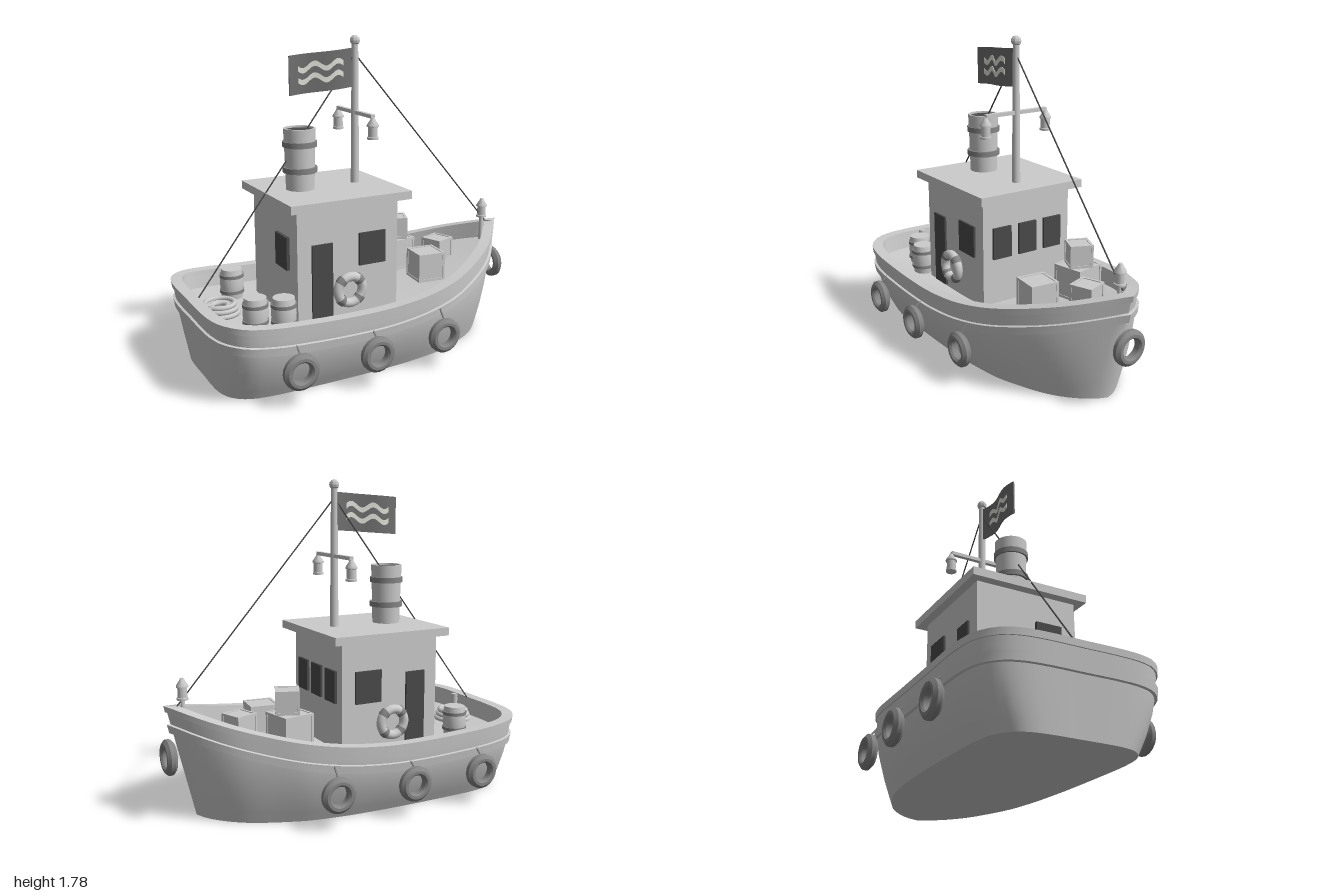
import * as THREE from 'three';
import { toCreasedNormals } from 'three/addons/utils/BufferGeometryUtils.js';

const mat = (color) => new THREE.MeshStandardMaterial({ color, side: THREE.DoubleSide });
const grey = mat(0xcccccc), dark = mat(0x4a4a4a), cloth = mat(0x707070), rubber = mat(0x858585), light = mat(0xe4e4dc);

// Height of the rim along the boat (bow at +x)
const sheer = (x) => 0.4 + (x < -0.2 ? 0.04 * ((x + 0.2) / 0.8) ** 2 : 0.22 * ((x + 0.2) / 1.18) ** 2);
const deckY = (x) => sheer(x) - 0.1;

// Closed plan outline of the rim, from stern centre round the +z side to the bow and back
const BEAM = 0.535;
const half = new THREE.CatmullRomCurve3([
  [-1, 0], [-1, 0.2], [-0.99, 0.32], [-0.96, 0.41], [-0.88, 0.49], [-0.75, 0.525], [-0.5, BEAM], [-0.2, BEAM],
  [0, 0.527], [0.2, 0.505], [0.4, 0.45], [0.6, 0.345], [0.75, 0.245], [0.87, 0.13], [0.98, 0],
].map(([x, z]) => new THREE.Vector3(x, 0, z)), false, 'centripetal').getSpacedPoints(60);
const outline = [...half, ...half.slice(1, -1).reverse().map((p) => new THREE.Vector3(p.x, 0, -p.z))];
const N = outline.length;

// Hull half-width as a share of the rim width, at height fraction v
const widths = [[0, 0.765], [0.25, 0.87], [0.5, 0.945], [0.7, 0.98], [1, 1]];
function flare(v) {
  const i = Math.max(1, widths.findIndex(([h]) => v <= h));
  const [[a, p], [b, q]] = [widths[i - 1], widths[i]];
  return p + (q - p) * (v - a) / (b - a);
}

// One ring round the hull: height(x) gives y, offset moves it outward; the bow gets rounder lower down
function ring(height, offset = 0, squash = 1) {
  return outline.map((p, i) => {
    const y = height(p.x), v = Math.min(1, y / sheer(p.x));
    const a = outline[(i + N - 1) % N], b = outline[(i + 1) % N];
    const n = new THREE.Vector2(a.z - b.z, b.x - a.x).normalize().multiplyScalar(offset);
    const base = -0.94 + (p.x + 1) / 1.98 * 1.77;
    const round = p.x > 0 ? 1 - 0.3 * (1 - v * v) * Math.min(1, p.x / 0.4) : 1;
    const width = BEAM * (Math.abs(p.z) / BEAM) ** round * flare(v);
    const z = Math.sign(p.z) * Math.max(0, width + n.y * Math.sign(p.z));
    return [base + (p.x - base) * v + n.x * (i === 60 ? 1.4 : 1), y, z * squash];
  });
}

function loft(rings, crease = 0.55) {
  const index = [];
  for (let j = 0; j < rings.length - 1; j++) for (let i = 0; i < N; i++) {
    const k = (i + 1) % N, a = j * N + i, b = j * N + k;
    index.push(a, b, b + N, a, b + N, a + N);
  }
  const g = new THREE.BufferGeometry();
  g.setAttribute('position', new THREE.Float32BufferAttribute(rings.flat(2), 3));
  g.setIndex(index);
  return toCreasedNormals(g, crease);
}

export function createModel() {
  const model = new THREE.Group();
  const add = (name, geo, x = 0, y = 0, z = 0, m = grey, parent = model) => {
    const mesh = new THREE.Mesh(geo, m);
    mesh.name = name;
    mesh.position.set(x, y, z);
    parent.add(mesh);
    return mesh;
  };
  const group = (name, x, y, z) => {
    const g = new THREE.Group();
    g.name = name;
    g.position.set(x, y, z);
    model.add(g);
    return g;
  };
  const box = (w, h, d) => new THREE.BoxGeometry(w, h, d);
  const cyl = (r1, r2, h, n = 16) => new THREE.CylinderGeometry(r1, r2, h, n);
  const lathe = (pts, n = 24) => toCreasedNormals(new THREE.LatheGeometry(pts.map(([r, y]) => new THREE.Vector2(r, y)), n), 0.6);
  const rod = (name, a, b, r, m) => add(name,
    new THREE.TubeGeometry(new THREE.LineCurve3(new THREE.Vector3(...a), new THREE.Vector3(...b)), 1, r, 8), 0, 0, 0, m);

  // Hull, deck and rails
  const levels = [0, 0.12, 0.25, 0.38, 0.5, 0.6, 0.7, 0.85, 1];
  add('hull', loft([ring(() => 0, 0, 0), ...levels.map((v) => ring((x) => v * sheer(x))),
    ring(sheer, -0.05), ring(deckY, -0.05)], 0.95));
  add('deck', loft([ring(deckY, -0.04), ring(deckY, -0.04, 0)]));
  const strip = (name, profile) => add(name, loft(profile.map(([drop, out]) => ring((x) => sheer(x) - drop, out))));
  strip('rubRail', [[0.15, -0.01], [0.145, 0.014], [0.1, 0.014], [0.095, -0.01]]);
  strip('rimRail', [[0.03, -0.01], [0.03, 0.008], [-0.004, 0.008], [-0.004, -0.055], [0.02, -0.055], [0.02, -0.045]]);

  // Cabin
  add('cabin', box(0.6, 0.65, 0.58), -0.204, 0.605, 0);
  add('roof', box(0.715, 0.045, 0.675), -0.198, 0.943, 0);
  for (const s of [1, -1]) {
    add('door', box(0.12, 0.42, 0.02), -0.363, 0.52, s * 0.292, dark);
    add('sideWindow', box(0.16, 0.18, 0.02), -0.063, 0.67, s * 0.292, dark);
    // Life ring with rope bands
    const buoy = group('lifeRing', -0.208, 0.46, s * 0.315);
    add('ring', new THREE.TorusGeometry(0.073, 0.026, 12, 32), 0, 0, 0, grey, buoy);
    for (let i = 0; i < 4; i++) {
      const band = add('band', new THREE.TorusGeometry(0.073, 0.029, 12, 6, 0.4), 0, 0, 0, rubber, buoy);
      band.rotation.z = i * Math.PI / 2 + 0.58;
    }
  }
  for (const z of [-0.17, 0, 0.17]) add('frontWindow', box(0.02, 0.18, 0.118), 0.1, 0.67, z, dark);
  add('backWindow', box(0.02, 0.18, 0.15), -0.512, 0.67, 0.12, dark);

  // Funnel
  const funnel = group('funnel', -0.347, 0.96, 0);
  add('pipe', lathe([[0.078, 0], [0.082, 0.17], [0.088, 0.34], [0.076, 0.34], [0.074, 0.28]]), 0, 0, 0, grey, funnel);
  add('pipeInside', cyl(0.076, 0.076, 0.01, 24), 0, 0.325, 0, dark, funnel);
  for (const y of [0.115, 0.255]) add('funnelBand', cyl(0.094, 0.094, 0.03, 24), 0, y, 0, rubber, funnel);

  // Mast, crossbar, lanterns and stays
  const mx = -0.008;
  add('mast', cyl(0.018, 0.024, 0.79), mx, 1.355, 0);
  add('mastBall', toCreasedNormals(new THREE.SphereGeometry(0.029, 8, 6), 0.1), mx, 1.752, 0);
  add('crossbar', box(0.024, 0.02, 0.4), mx, 1.362, 0);
  const lantern = (x, y, z) => add('lantern', lathe([[0, 0], [0.031, 0], [0.031, 0.012], [0.026, 0.014], [0.026, 0.066],
    [0.033, 0.068], [0.033, 0.076], [0.015, 0.104], [0.01, 0.116], [0, 0.116]], 12), x, y, z);
  for (const s of [1, -1]) lantern(mx, 1.24, s * 0.2);
  add('bowPost', cyl(0.012, 0.015, 0.2, 12), 0.887, 0.56, 0);
  lantern(0.887, 0.645, 0);
  rod('foreStay', [mx, 1.68, 0], [0.93, 0.6, 0], 0.004, dark);
  rod('backStay', [mx, 1.68, 0], [-0.955, 0.43, 0], 0.004, dark);
  add('sternPost', cyl(0.02, 0.02, 0.12, 12), -0.935, 0.38, 0.115);

  // Waving flag with two ripple stripes on each side
  const wave = (u) => 0.016 * Math.sin(u * 6);
  const fabric = (u0, u1, depth, height, y, ripple) => {
    const g = new THREE.BoxGeometry(1, height, depth, 32, 1, 1);
    const p = g.attributes.position;
    for (let i = 0; i < p.count; i++) {
      const u = u1 - (p.getX(i) + 0.5) * (u1 - u0);
      p.setXYZ(i, -0.03 - u * 0.37, p.getY(i) + y - 0.03 * u + ripple * Math.sin((u - u0) * 18), p.getZ(i) + wave(u));
    }
    return toCreasedNormals(g, 0.6);
  };
  add('flag', fabric(0, 1, 0.008, 0.21, 1.607, 0), 0, 0, 0, cloth);
  for (const y of [1.64, 1.578]) add('flagRipple', fabric(0.16, 0.85, 0.014, 0.028, y, 0.016), 0, 0, 0, light);

  // Barrels
  for (const [x, z] of [[-0.665, -0.26], [-0.725, 0.245], [-0.588, 0.295]]) {
    const b = group('barrel', x, deckY(x) - 0.005, z);
    add('staves', lathe([[0, 0], [0.058, 0], [0.064, 0.05], [0.067, 0.09], [0.064, 0.13], [0.058, 0.175], [0, 0.175]]), 0, 0, 0, grey, b);
    for (const y of [0.045, 0.135]) add('hoop', cyl(0.069, 0.069, 0.018, 24), 0, y, 0, rubber, b);
  }

  // Rope coil on the after deck
  const coil = group('ropeCoil', -0.825, deckY(-0.82) + 0.012, -0.02);
  [[0.1, 0], [0.075, 0.003], [0.09, 0.024], [0.066, 0.027], [0.08, 0.046], [0.045, 0.03]].forEach(([r, y]) => {
    add('ropeLoop', new THREE.TorusGeometry(r, 0.014, 8, 32), 0, y, 0, grey, coil).rotation.x = Math.PI / 2;
  });

  // Framed crates
  const crate = (x, y, z, s, turn) => {
    const g = group('crate', x, y + s / 2, z);
    g.rotation.y = turn;
    add('panels', box(s - 0.008, s - 0.008, s - 0.008), 0, 0, 0, grey, g);
    const e = s / 2 - 0.007;
    for (const a of [e, -e]) for (const b of [e, -e]) {
      add('frame', box(s, 0.014, 0.014), 0, a, b, grey, g);
      add('frame', box(0.014, s, 0.014), a, 0, b, grey, g);
      add('frame', box(0.014, 0.014, s), a, b, 0, grey, g);
    }
  };
  crate(0.35, 0.365, -0.17, 0.185, 0.2);
  crate(0.362, 0.55, -0.165, 0.13, -0.4);
  crate(0.588, 0.41, -0.04, 0.135, 0.35);
  crate(0.39, 0.375, 0.135, 0.165, -0.1);

  // Tyre fenders with hanging ropes
  const tyreGeo = lathe([[0.052, -0.016], [0.062, -0.027], [0.078, -0.027], [0.096, -0.011],
    [0.096, 0.011], [0.078, 0.027], [0.062, 0.027], [0.052, 0.016], [0.052, -0.016]], 20);
  for (const [x, z] of [[-0.625, 0.58], [-0.19, 0.583], [0.25, 0.545]]) for (const s of [1, -1]) {
    add('tyreFender', tyreGeo, x, 0.19, s * z, rubber).rotation.x = Math.PI / 2;
    rod('fenderRope', [x, 0.27, s * z], [x, sheer(x) - 0.1, s * (z - 0.05)], 0.005, rubber);
  }
  add('bowFender', tyreGeo, 0.972, 0.343, 0, rubber).rotation.z = Math.PI / 2;

  return model;
}
